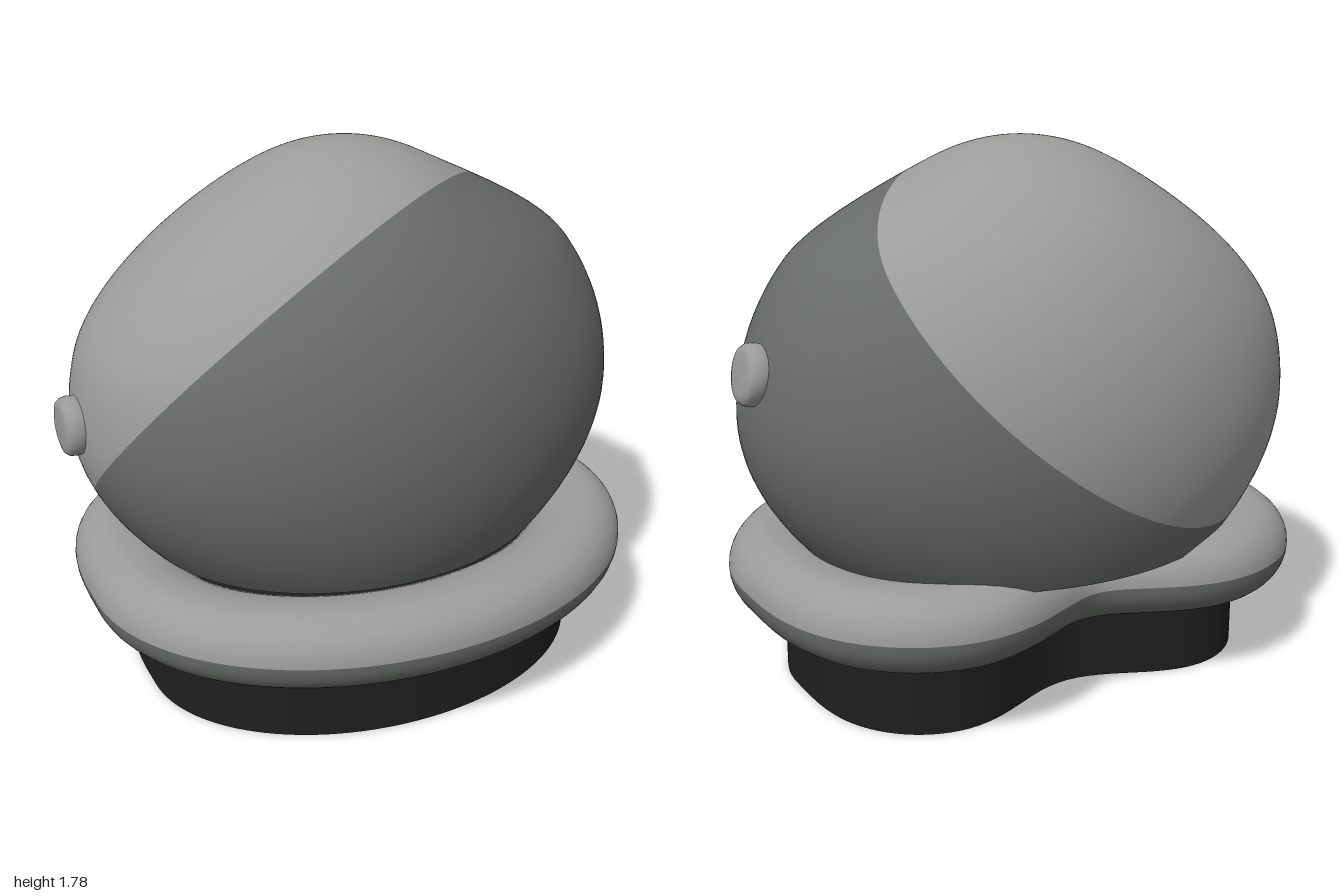
import * as THREE from 'three';

const shellMat = new THREE.MeshStandardMaterial({ name: 'light grey', color: 0x9c9c9a });
const visorMat = new THREE.MeshStandardMaterial({ name: 'dark grey', color: 0x686c68 });
const neckMat = new THREE.MeshStandardMaterial({ name: 'black', color: 0x1f1f1f });

// Smooth surface from fn(u, v), closed around u
function loft(fn, nu, nv, v0, v1) {
  const pos = [], index = [];
  for (let j = 0; j <= nv; j++)
    for (let i = 0; i < nu; i++)
      pos.push(...fn(i / nu * Math.PI * 2, v0 + (v1 - v0) * j / nv));
  for (let j = 0; j < nv; j++)
    for (let i = 0; i < nu; i++) {
      const k = (i + 1) % nu;
      const a = j * nu + i, c = j * nu + k;
      index.push(a, a + nu, c, a + nu, c + nu, c);
    }
  const g = new THREE.BufferGeometry();
  g.setAttribute('position', new THREE.Float32BufferAttribute(pos, 3));
  g.setIndex(index);
  g.computeVertexNormals();
  return g;
}

// Keep the part of a geometry where normal . p > d (times sign)
function clip(geometry, normal, d, sign) {
  const g = geometry.toNonIndexed();
  const P = g.attributes.position, N = g.attributes.normal;
  const pos = [], nor = [];
  for (let i = 0; i < P.count; i += 3) {
    const tri = [0, 1, 2].map(k => {
      const p = new THREE.Vector3().fromBufferAttribute(P, i + k);
      const n = new THREE.Vector3().fromBufferAttribute(N, i + k);
      return { p, n, s: sign * (normal.dot(p) - d) };
    });
    const out = [];
    tri.forEach((a, k) => {
      const b = tri[(k + 1) % 3];
      if (a.s >= 0) out.push(a);
      if ((a.s >= 0) !== (b.s >= 0)) {
        const t = a.s / (a.s - b.s);
        out.push({ p: a.p.clone().lerp(b.p, t), n: a.n.clone().lerp(b.n, t).normalize() });
      }
    });
    for (let k = 1; k + 1 < out.length; k++)
      for (const q of [out[0], out[k], out[k + 1]]) {
        pos.push(...q.p.toArray());
        nor.push(...q.n.toArray());
      }
  }
  const r = new THREE.BufferGeometry();
  r.setAttribute('position', new THREE.Float32BufferAttribute(pos, 3));
  r.setAttribute('normal', new THREE.Float32BufferAttribute(nor, 3));
  return r;
}

// Egg-shaped head, wider at the sides than towards the crown
const deg = Math.PI / 180;
function headPoint(theta, phi) {
  const f = phi / deg;
  const low = phi < 0 ? 0.28 * Math.sin(phi) ** 2 : 0;
  const left = 0.71 + 0.25 * (1 - THREE.MathUtils.smoothstep(f, 34, 68));
  const right = 0.71 + 0.24 * (1 - THREE.MathUtils.smoothstep(f, 14, 70));
  const wide = THREE.MathUtils.lerp(right, left, 0.5 + 0.5 * Math.cos(theta)) - low;
  const c = Math.cos(phi);
  return [wide * c * Math.cos(theta), 0.93 + 0.85 * Math.sin(phi), -0.085 + 0.715 * c * Math.sin(theta)];
}

// Plan outline: round at the front, square with a hollow at the back
function outline(t, halfX, front, back) {
  const x = halfX * Math.cos(t), s = Math.sin(t);
  const z = s >= 0 ? front * s
    : -back * Math.pow(-s, 0.6) + 0.25 * Math.exp(-((x / 0.35) ** 2));
  return [x, z + 0.045];
}

// Padded collar: cross-section swept along the outline, deeper on the inside
function collarPoint(t, psi) {
  const path = a => outline(a, 0.835, 0.625, 0.74);
  const [x, z] = path(t), a = path(t - 0.02), b = path(t + 0.02);
  const dx = b[0] - a[0], dz = b[1] - a[1], len = Math.hypot(dx, dz);
  const c = Math.cos(psi), off = c * (c > 0 ? 0.13 : 0.2);
  return [x + dz / len * off, 0.38 + 0.13 * Math.sin(psi), z - dx / len * off];
}

export function createModel() {
  const model = new THREE.Group();
  const add = (name, geometry, material) => {
    const m = new THREE.Mesh(geometry, material);
    m.name = name;
    model.add(m);
    return m;
  };

  // Head, divided by a slanted plane into shell and visor
  const floor = -33 * deg;
  const head = loft(headPoint, 112, 80, floor, Math.PI / 2);
  const normal = new THREE.Vector3(-0.243, 0.3785, -0.331);
  add('shell', clip(head, normal, 0.522, 1), shellMat);
  add('visor', clip(head, normal, 0.522, -1), visorMat);
  add('headUnderside', loft((t, k) => {
    const [x, y, z] = headPoint(t, floor);
    return [x * k, y, -0.085 + (z + 0.085) * k];
  }, 112, 1, 0, 1), visorMat);

  // Collar, in two tones
  add('collarTop', loft(collarPoint, 128, 16, 0, Math.PI), shellMat);
  add('collarBottom', loft(collarPoint, 128, 16, -Math.PI, 0), visorMat);

  // Neck block
  const pts = [];
  for (let i = 0; i < 128; i++) {
    const [x, z] = outline(i / 128 * Math.PI * 2, 0.785, 0.575, 0.69);
    pts.push(new THREE.Vector2(x, -z));
  }
  const neck = new THREE.ExtrudeGeometry(new THREE.Shape(pts), { depth: 0.38, bevelEnabled: false });
  neck.rotateX(-Math.PI / 2);
  add('neck', neck, neckMat);

  // Round side buttons with softened rims
  const profile = [[0, -0.05], [0.085, -0.05], [0.094, -0.035], [0.097, -0.01], [0.094, 0.012],
    [0.084, 0.025], [0.065, 0.03], [0, 0.031]].map(p => new THREE.Vector2(...p));
  const button = new THREE.LatheGeometry(profile, 40);
  const left = add('leftButton', button, shellMat);
  left.position.set(0.95, 1.11, -0.1);
  left.rotation.z = -Math.PI / 2 + 0.17;
  const right = add('rightButton', button, shellMat);
  right.position.set(-0.969, 0.963, -0.09);
  right.rotation.z = Math.PI / 2;

  return model;
}
